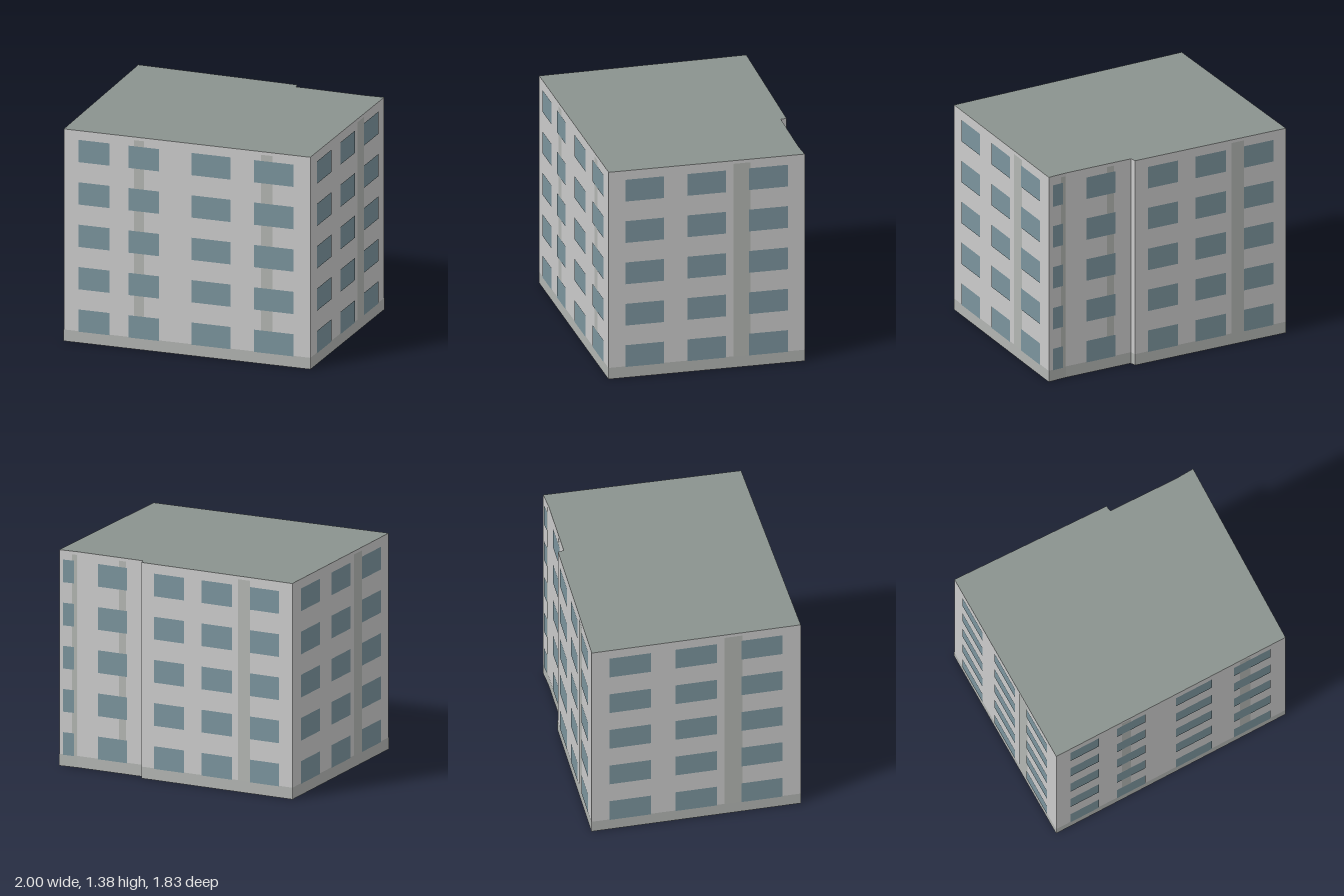
import * as THREE from 'three';

const HEIGHT = 1.38, FLOORS = 5, PLINTH = 0.075;
const PITCH = HEIGHT / FLOORS;

const mat = (color, side = THREE.FrontSide) => new THREE.MeshStandardMaterial({ color, side });

// Each wall starts at corner [x, z] and runs to the next wall's corner;
// windows and strips are spans along the wall, from 0 to 1.
const END_WINDOWS = [[0.085, 0.282], [0.4, 0.598], [0.715, 0.913]];
const END_STRIPS = [[0.636, 0.722]];
const WALLS = [
  { name: 'frontWallRight', at: [-1, 0.305], windows: [[0.149, 0.46], [0.651, 0.96]], strips: [[0.709, 0.806]] },
  { name: 'frontWallLeft', at: [-0.396, 0.551], windows: [[0.195, 0.458], [0.62, 0.888]], strips: [[0.665, 0.743]] },
  { name: 'leftEndWall', at: [0.497, 0.914], windows: END_WINDOWS, strips: END_STRIPS },
  { name: 'backWallCorner', at: [1, -0.225], windows: [[0.22, 0.8]], strips: [[0.7, 0.95]] },
  { name: 'backWallLeft', at: [0.882, -0.267], windows: [[0.31, 0.76]], strips: [[0.63, 0.74]] },
  { name: 'backStep', at: [0.465, -0.449], windows: [], strips: [] },
  { name: 'backWallRight', at: [0.473, -0.487], windows: [[0.085, 0.283], [0.4, 0.602], [0.72, 0.915]], strips: [[0.64, 0.722]] },
  { name: 'rightEndWall', at: [-0.49, -0.914], windows: END_WINDOWS, strips: END_STRIPS },
];

export function createModel() {
  const group = new THREE.Group();
  group.name = 'apartmentBlock';

  const wallMat = mat(0xcccccc, THREE.DoubleSide);
  const roofMat = mat(0x8b938f, THREE.DoubleSide);
  const plinthMat = mat(0xb2b5b2);
  const stripMat = mat(0xb3b6b2);
  const glassMat = mat(0x7b949d);

  WALLS.forEach((wall, i) => {
    const [ax, az] = wall.at;
    const [bx, bz] = WALLS[(i + 1) % WALLS.length].at;
    const length = Math.hypot(bx - ax, bz - az);

    // Local x runs along the wall, local z points outward
    const side = new THREE.Group();
    side.name = wall.name;
    side.position.set(ax, 0, az);
    side.rotation.y = Math.atan2(az - bz, bx - ax);
    group.add(side);

    const panel = (name, [t0, t1], y0, y1, offset, material) => {
      const mesh = new THREE.Mesh(new THREE.PlaneGeometry((t1 - t0) * length, y1 - y0), material);
      mesh.name = name;
      mesh.position.set((t0 + t1) / 2 * length, (y0 + y1) / 2, offset);
      side.add(mesh);
    };

    panel('wall', [0, 1], 0, HEIGHT, 0, wallMat);
    panel('plinth', [0, 1], 0, PLINTH, 0.002, plinthMat);
    for (const span of wall.strips) panel('verticalStrip', span, PLINTH, 1.36, 0.002, stripMat);
    for (const span of wall.windows) {
      for (let f = 0; f < FLOORS; f++) {
        panel('window', span, f * PITCH + 0.072, f * PITCH + 0.217, 0.004, glassMat);
      }
    }
  });

  // Flat roof over the stepped footprint; the underside stays open
  const outline = new THREE.Shape(WALLS.map(({ at: [x, z] }) => new THREE.Vector2(x, -z)));
  const roof = new THREE.Mesh(new THREE.ShapeGeometry(outline).rotateX(-Math.PI / 2), roofMat);
  roof.name = 'roof';
  roof.position.y = HEIGHT;
  group.add(roof);

  return group;
}
